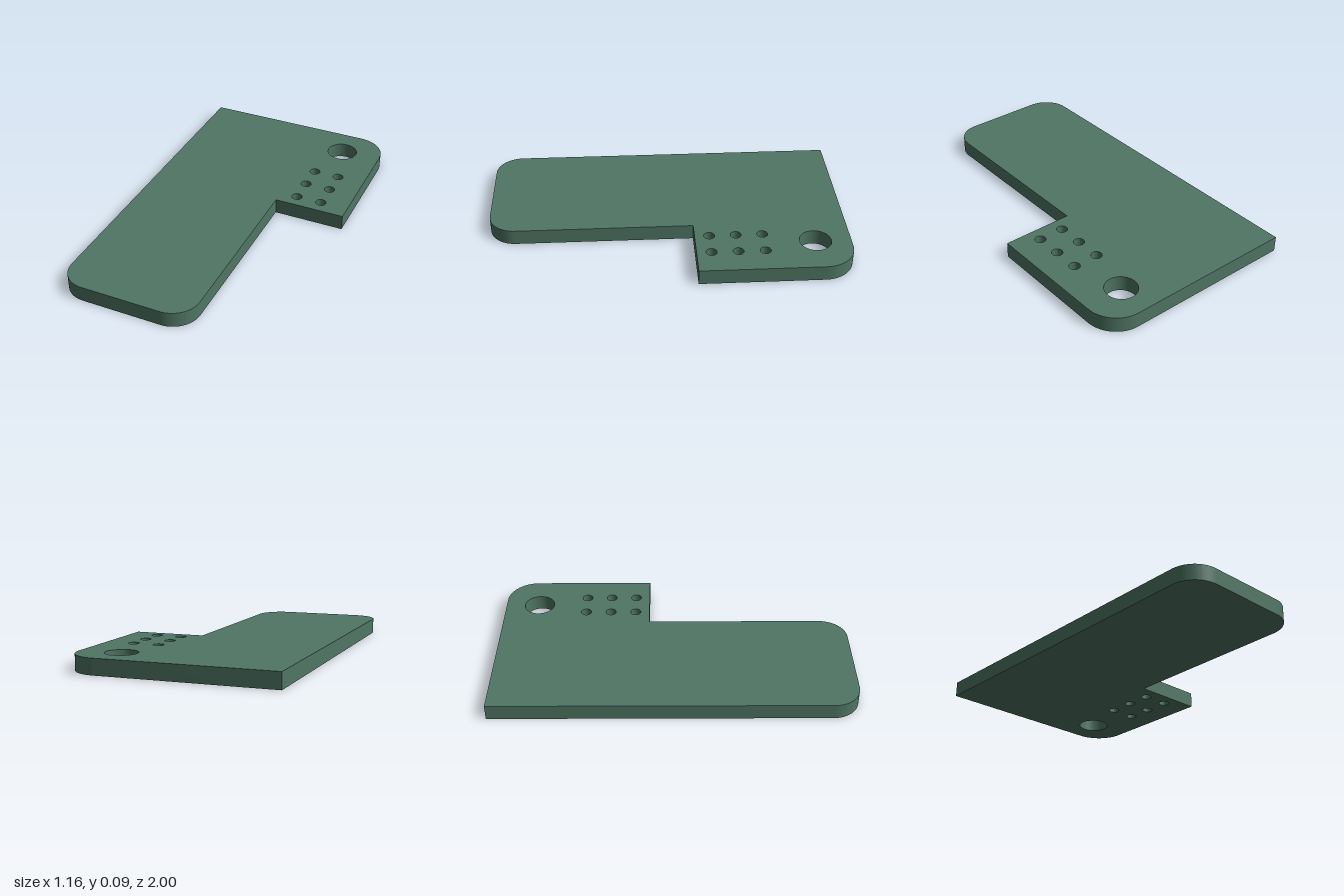
import * as THREE from 'three';
import { toCreasedNormals } from 'three/addons/utils/BufferGeometryUtils.js';

const THICKNESS = 0.088;

// Plan outline, drawn with y pointing to the back (-z)
function plateOutline() {
  const left = -0.58, right = 0.58, step = 0.175, stepY = 0.143;
  const rFront = 0.15, rBack = 0.175;
  const s = new THREE.Shape();
  s.moveTo(left + rFront, -1);
  s.lineTo(step - rFront, -1);
  s.absarc(step - rFront, -1 + rFront, rFront, -Math.PI / 2, 0, false);
  s.lineTo(step, stepY);
  s.lineTo(right, stepY);
  s.lineTo(right, 1 - rBack);
  s.absarc(right - rBack, 1 - rBack, rBack, 0, Math.PI / 2, false);
  s.lineTo(left, 1);
  s.lineTo(left, -1 + rFront);
  s.absarc(left + rFront, -1 + rFront, rFront, Math.PI, Math.PI * 1.5, false);
  return s;
}

function addHole(shape, x, y, r) {
  const hole = new THREE.Path();
  hole.absarc(x, y, r, 0, Math.PI * 2, true);
  shape.holes.push(hole);
}

export function createModel() {
  const group = new THREE.Group();
  group.name = 'drilledPlate';

  const shape = plateOutline();
  // Large hole in the rounded corner
  addHole(shape, 0.347, 0.802, 0.088);
  // Two columns of three small holes
  for (const x of [0.273, 0.42]) {
    for (const y of [0.224, 0.371, 0.518]) addHole(shape, x, y, 0.03);
  }

  const extruded = new THREE.ExtrudeGeometry(shape, {
    depth: THICKNESS, bevelEnabled: false, curveSegments: 32,
  });
  extruded.rotateX(-Math.PI / 2);

  const plate = new THREE.Mesh(
    toCreasedNormals(extruded, Math.PI / 6),
    new THREE.MeshStandardMaterial({ color: 0x4f7564 }),
  );
  plate.name = 'plate';
  group.add(plate);
  return group;
}
